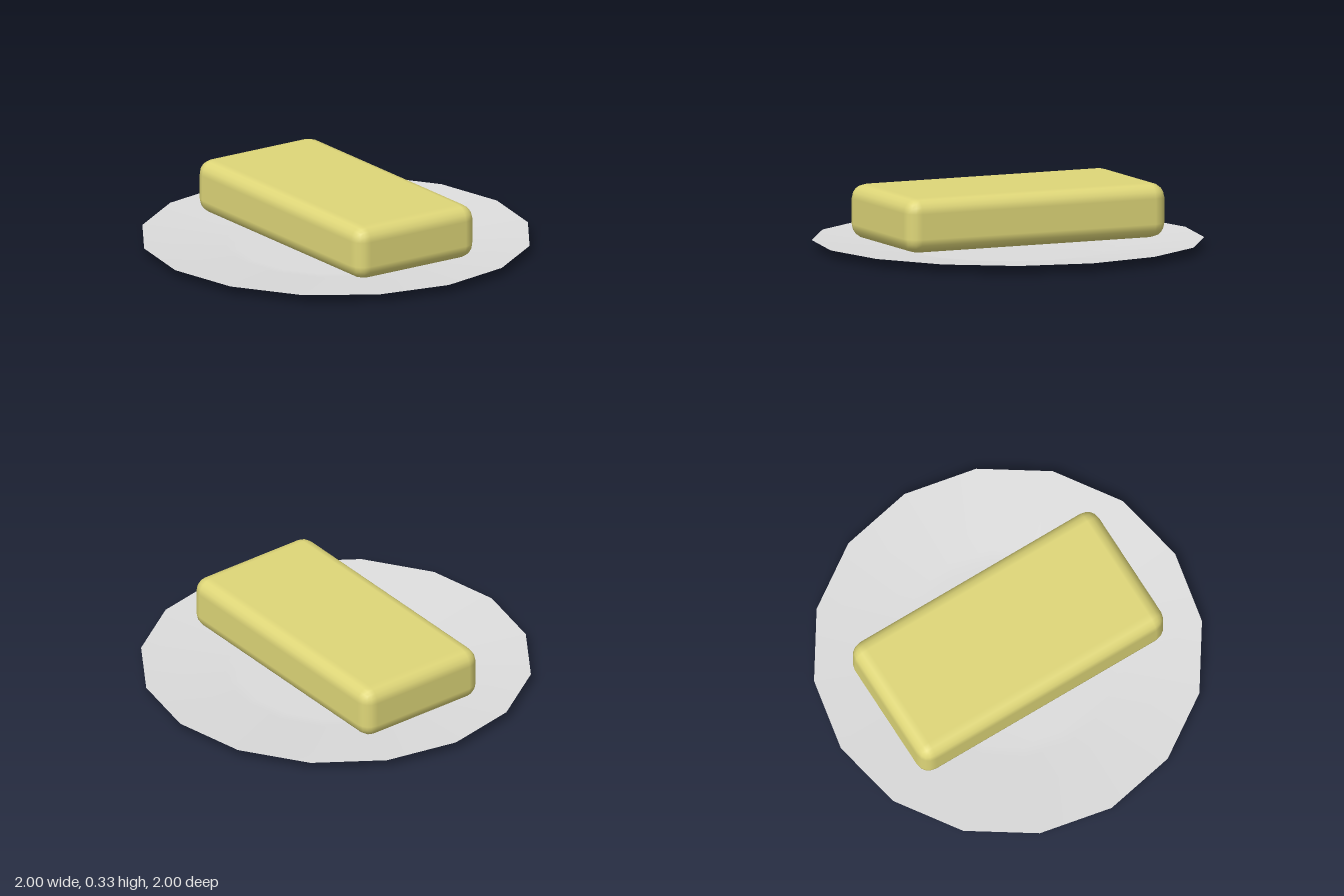
import * as THREE from 'three';
import { RoundedBoxGeometry } from 'three/addons/geometries/RoundedBoxGeometry.js';

export function createModel() {
  const model = new THREE.Group();
  model.name = 'butterOnPlate';

  const porcelain = new THREE.MeshStandardMaterial({ color: 0xdcdcdc, side: THREE.DoubleSide });
  porcelain.name = 'pale grey porcelain';
  const butterYellow = new THREE.MeshStandardMaterial({ color: 0xded678 });
  butterYellow.name = 'butter yellow';

  // Shallow sixteen-sided plate: a single thin sheet, profiled from rim to centre
  const profile = [[1, 0.045], [0.57, 0.007], [0.5, 0], [0, 0]]
    .map(([r, y]) => new THREE.Vector2(r, y));
  const plate = new THREE.Mesh(new THREE.LatheGeometry(profile, 16), porcelain);
  plate.name = 'plate';
  model.add(plate);

  // Softly rounded block of butter resting just above the plate's rim
  const butter = new THREE.Mesh(new RoundedBoxGeometry(1.465, 0.28, 0.74, 2, 0.075), butterYellow);
  butter.name = 'butterBlock';
  butter.position.y = 0.19;
  model.add(butter);

  return model;
}
